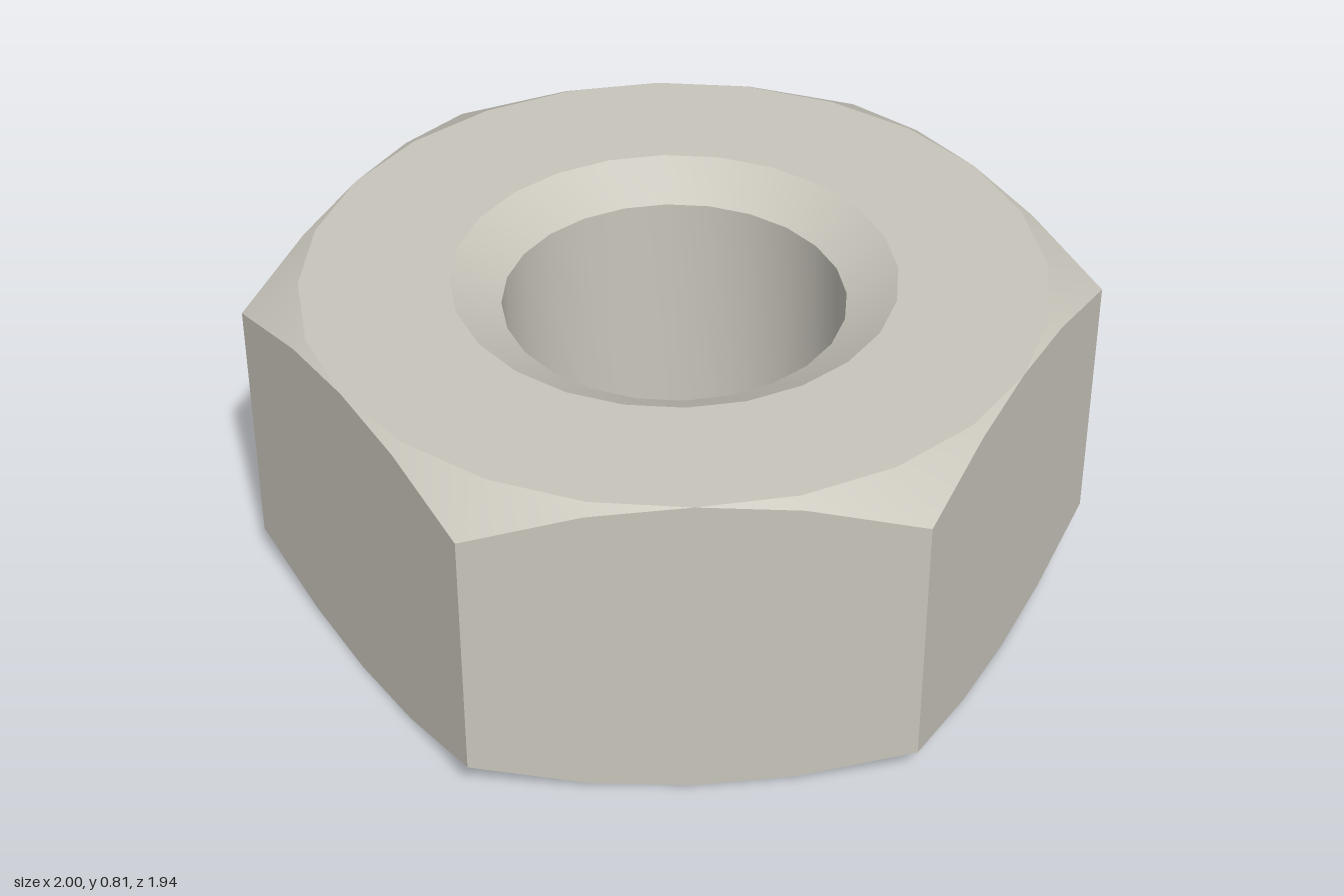
import * as THREE from 'three';
import { toCreasedNormals } from 'three/addons/utils/BufferGeometryUtils.js';

const H = 0.81;                       // thickness
const CORNER = 1.022;                 // centre to hexagon corner
const FLAT = CORNER * Math.cos(Math.PI / 6); // centre to hexagon flat
const BORE = 0.41, SINK = 0.53;       // bore radius, countersink radius
const SLOPE = Math.tan(Math.PI / 6);  // 30 degree chamfers
const SEGMENTS = 24;
const TURN = THREE.MathUtils.degToRad(18.1); // a corner lies at this angle from +z

// Hexagon radius at a given angle around y
function hexRadius(angle) {
  const sector = Math.PI / 3;
  const a = (((angle - TURN) % sector) + sector) % sector;
  return FLAT / Math.cos(a - sector / 2);
}

function ringSurface(points) {
  return new THREE.LatheGeometry(points.map(([r, y]) => new THREE.Vector2(r, y)), SEGMENTS, TURN);
}

export function createModel() {
  const steel = new THREE.MeshStandardMaterial({ color: 0xc8c5bb });
  steel.name = 'warm grey steel';
  const group = new THREE.Group();
  group.name = 'hexNut';

  const add = (name, geometry) => {
    const mesh = new THREE.Mesh(toCreasedNormals(geometry, THREE.MathUtils.degToRad(22)), steel);
    mesh.name = name;
    group.add(mesh);
  };

  // Hexagonal sides with conical corner chamfers: push the two middle rings out
  // to the hexagon and slide them along the chamfer cone
  const body = ringSurface([[FLAT, 0], [CORNER, 0.08], [CORNER, H - 0.08], [FLAT, H]]);
  const p = body.attributes.position;
  for (let i = 0; i < p.count; i++) {
    const ring = i % 4;
    if (ring === 0 || ring === 3) continue;
    const angle = TURN + Math.floor(i / 4) * 2 * Math.PI / SEGMENTS;
    const r = hexRadius(angle);
    const drop = (r - FLAT) * SLOPE;
    p.setXYZ(i, r * Math.sin(angle), ring === 1 ? drop : H - drop, r * Math.cos(angle));
  }
  add('hexagonSides', body);

  // Flat bearing faces
  add('topFace', ringSurface([[FLAT, H], [SINK, H]]));
  add('bottomFace', ringSurface([[SINK, 0], [FLAT, 0]]));

  // Through hole, countersunk at both ends
  const depth = (SINK - BORE) * SLOPE;
  add('bore', ringSurface([[SINK, H], [BORE, H - depth], [BORE, depth], [SINK, 0]]));

  return group;
}
